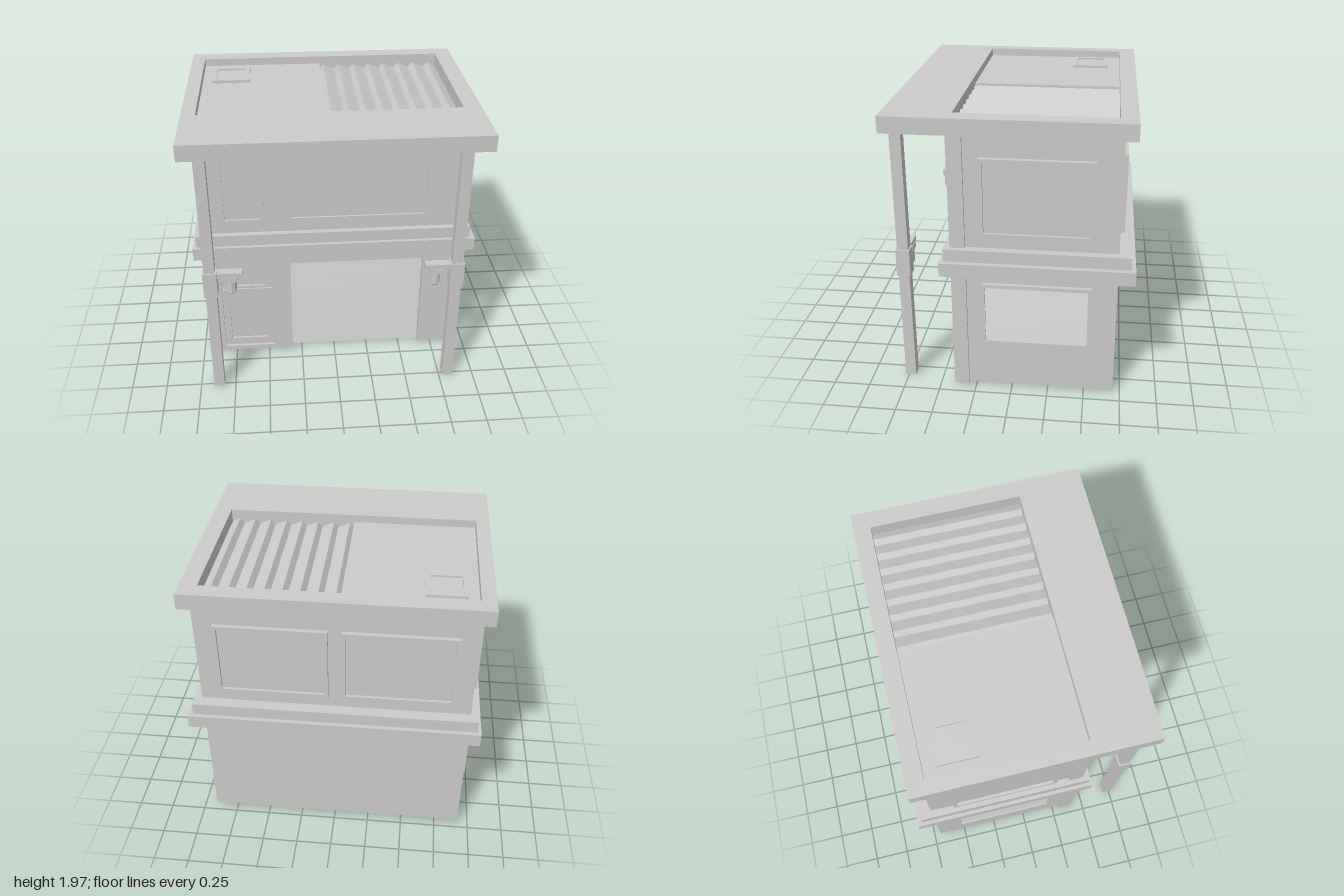
import * as THREE from 'three';

const mat = new THREE.MeshStandardMaterial({ color: 0xcccccc, flatShading: true, side: THREE.DoubleSide });

function add(parent, name, geometry) {
  const mesh = new THREE.Mesh(geometry, mat);
  mesh.name = name;
  parent.add(mesh);
  return mesh;
}

// Box given by its limits on each axis
function box(parent, name, x0, x1, y0, y1, z0, z1) {
  const g = new THREE.BoxGeometry(x1 - x0, y1 - y0, z1 - z0);
  g.translate((x0 + x1) / 2, (y0 + y1) / 2, (z0 + z1) / 2);
  return add(parent, name, g);
}

function rectPoints([x0, x1, y0, y1]) {
  return [[x0, y0], [x1, y0], [x1, y1], [x0, y1]].map(p => new THREE.Vector2(...p));
}

// Flat plate with rectangular holes, from z0 to z1
function plate(outline, holes, z0, z1) {
  const shape = new THREE.Shape(outline);
  for (const h of holes) shape.holes.push(new THREE.Path(rectPoints(h)));
  const g = new THREE.ExtrudeGeometry(shape, { depth: z1 - z0, bevelEnabled: false });
  return g.translate(0, 0, z0);
}

// Frame with a set-back pane; r = [x0, x1, y0, y1]
function framed(parent, name, r, border, z0, z1, paneZ) {
  const inner = [r[0] + border, r[1] - border, r[2] + border, r[3] - border];
  add(parent, name + 'Frame', plate(rectPoints(r), [inner], z0, z1));
  if (paneZ !== undefined) box(parent, name + 'Pane', ...inner, paneZ - 0.01, paneZ);
  return inner;
}

// Overlapping slats, each leaning out at its lower edge
function slats(parent, name, [x0, x1, y0, y1], count, back, front) {
  const step = (y1 - y0) / count;
  const pts = [new THREE.Vector2(back - 0.01, y0)];
  for (let i = 0; i < count; i++) {
    pts.push(new THREE.Vector2(front, y0 + i * step), new THREE.Vector2(back, y0 + (i + 1) * step));
  }
  pts.push(new THREE.Vector2(back - 0.01, y1));
  const g = new THREE.ExtrudeGeometry(new THREE.Shape(pts), { depth: x1 - x0, bevelEnabled: false });
  add(parent, name, g.rotateY(-Math.PI / 2).translate(x1, 0, 0));
}

// Group whose local +z points out of a wall
function wallFace(parent, name, angle) {
  const g = new THREE.Group();
  g.name = name;
  g.rotation.y = angle;
  parent.add(g);
  return g;
}

export function createModel() {
  const model = new THREE.Group();
  model.name = 'house';

  // Walls, open underneath
  box(model, 'backWall', -0.925, 0.91, 0.025, 1.86, -0.7, -0.68);
  box(model, 'rightWall', -0.925, -0.905, 0.025, 1.86, -0.68, 0.3);
  box(model, 'leftWall', 0.89, 0.91, 0.025, 1.86, -0.68, 0.3);

  // Front wall with garage notch and doorway
  const outline = [[-0.945, 0.015], [-0.32, 0.015], [-0.32, 0.8], [0.65, 0.8], [0.65, 0.015],
    [0.93, 0.015], [0.93, 1.86], [-0.945, 1.86]].map(p => new THREE.Vector2(...p));
  add(model, 'frontWall', plate(outline, [[-0.83, -0.46, 0.05, 0.8]], 0.3, 0.4));
  slats(model, 'garageDoor', [-0.32, 0.65, 0.02, 0.8], 8, 0.335, 0.365);

  // Entrance door with a transom above it
  const door = new THREE.Group();
  door.name = 'frontDoor';
  model.add(door);
  for (const [name, r, hole] of [
    ['doorLeaf', [-0.83, -0.46, 0.05, 0.565], [-0.78, -0.515, 0.11, 0.515]],
    ['transom', [-0.83, -0.46, 0.58, 0.8], [-0.78, -0.515, 0.6, 0.775]],
  ]) {
    add(door, name, plate(rectPoints(r), [hole], 0.35, 0.38));
    box(door, name + 'Panel', ...hole, 0.35, 0.363);
  }
  box(door, 'doorRail', -0.83, -0.46, 0.565, 0.58, 0.35, 0.39);

  // Front windows
  framed(model, 'smallWindow', [-0.79, -0.49, 1.17, 1.705], 0.023, 0.39, 0.42, 0.406);
  framed(model, 'largeWindow', [-0.33, 0.665, 1.17, 1.705], 0.023, 0.39, 0.42, 0.406);

  // Back windows
  const back = wallFace(model, 'backWindows', Math.PI);
  for (const [x0, x1] of [[-0.78, -0.035], [0.055, 0.81]]) {
    framed(back, 'backWindow', [x0, x1, 1.17, 1.705], 0.025, 0.69, 0.73, 0.71);
  }

  // Side windows, with a louvred vent below each
  for (const [side, name, wall] of [[1, 'leftWindows', 0.91], [-1, 'rightWindows', 0.925]]) {
    const face = wallFace(model, name, side * Math.PI / 2);
    const [a, b] = side > 0 ? [-0.2, 0.535] : [-0.535, 0.2];
    framed(face, 'sideWindow', [a, b, 1.17, 1.705], 0.025, wall - 0.01, wall + 0.033, wall + 0.013);
    const inner = framed(face, 'vent', [a, b, 0.36, 0.82], 0.025, wall - 0.03, wall + 0.028);
    slats(face, 'ventLouvres', inner, 9, wall + 0.003, wall + 0.02);
  }

  // Belt courses between the storeys
  box(model, 'lowerBelt', -1, 1, 0.9, 0.995, -0.81, 0.465);
  box(model, 'upperBelt', -0.975, 0.965, 0.995, 1.08, -0.78, 0.44);

  // Roof border around a sunken deck
  const border = plate(rectPoints([-1, 0.975, -0.81, 0.78]), [[-0.905, 0.855, -0.365, 0.665]], 1.86, 1.97);
  add(model, 'roofBorder', border.rotateX(-Math.PI / 2));
  box(model, 'roofDeck', -0.905, -0.04, 1.86, 1.915, -0.665, 0.365);

  // Corrugated half of the roof
  const wave = [new THREE.Vector2(-0.04, 1.86)];
  for (let i = 0; i < 8; i++) {
    const x = -0.04 + i * 0.115;
    wave.push(new THREE.Vector2(x, 1.87), new THREE.Vector2(x + 0.032, 1.905));
  }
  wave.push(new THREE.Vector2(0.855, 1.875), new THREE.Vector2(0.855, 1.86));
  add(model, 'corrugatedRoof', plate(wave, [], -0.665, 0.365));

  // Roof hatch
  const hatch = wallFace(model, 'roofHatch', 0);
  hatch.rotation.x = -Math.PI / 2;
  framed(hatch, 'hatch', [-0.835, -0.565, 0.31, 0.575], 0.03, 1.9, 1.935, 1.922);

  // Front posts, each with a collar, an arm and a lamp; side points to the model's middle
  for (const [x, side] of [[-0.867, 1], [0.812, -1]]) {
    const post = new THREE.Group();
    post.name = 'frontPost';
    post.position.set(x, 0, 0.737);
    post.scale.x = side;
    model.add(post);
    box(post, 'postShaft', -0.037, 0.037, 0, 1.86, -0.037, 0.037);
    box(post, 'postCollar', -0.047, 0.047, 0.81, 1.0, -0.047, 0.047);
    box(post, 'lampArm', 0.04, 0.217, 0.955, 0.99, -0.03, 0.03);
    box(post, 'lampCap', 0.1, 0.185, 0.92, 0.957, -0.035, 0.035);
    const lamp = new THREE.CylinderGeometry(0.034, 0.034, 0.095, 8);
    add(post, 'lampBody', lamp).position.set(0.142, 0.877, 0);
    const tip = new THREE.CylinderGeometry(0.036, 0.02, 0.016, 8);
    add(post, 'lampTip', tip).position.set(0.142, 0.822, 0);
  }

  return model;
}
